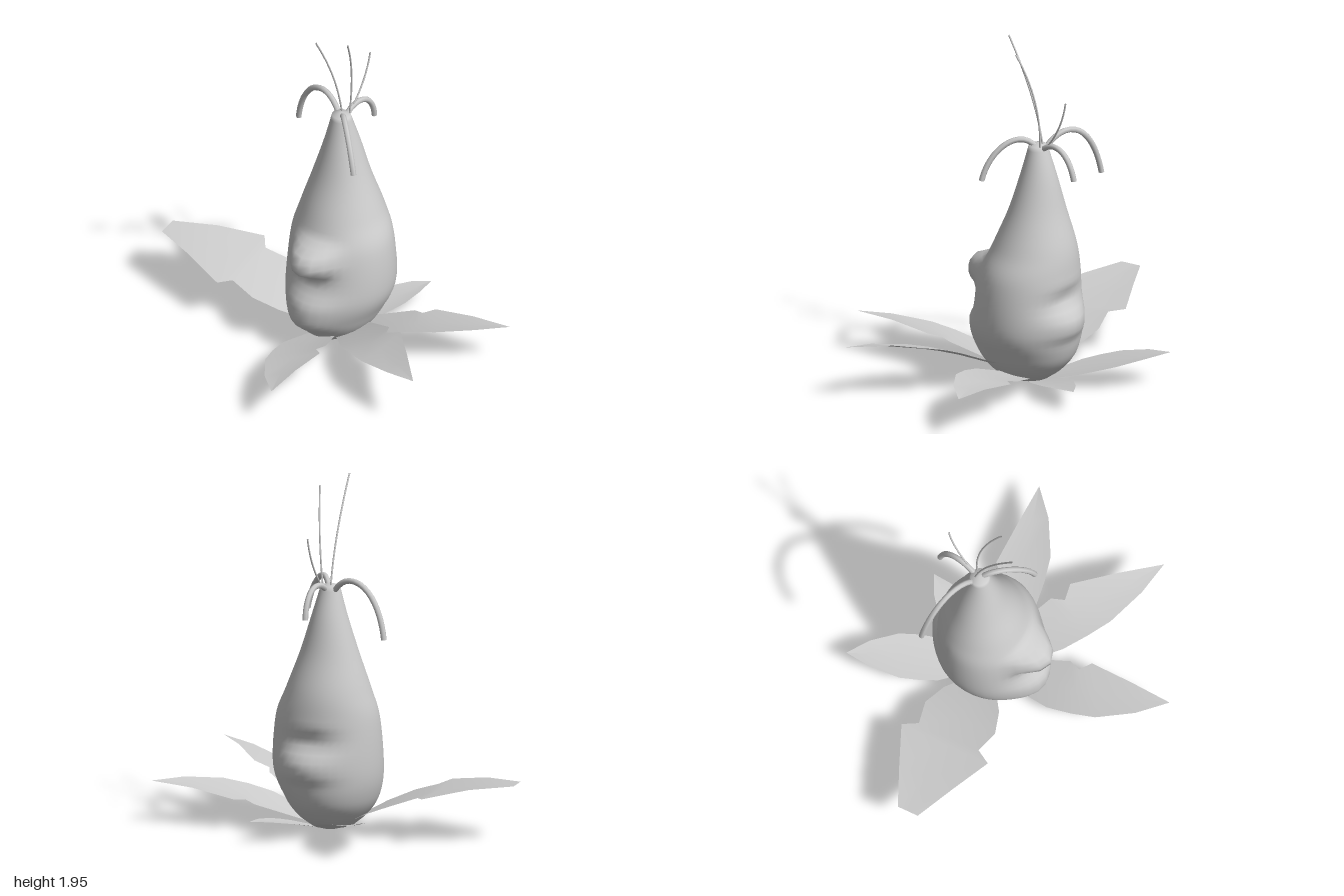
import * as THREE from 'three';

const V = (p) => new THREE.Vector3(...p);
const material = new THREE.MeshStandardMaterial({ color: 0xcccccc });
const sheetMaterial = new THREE.MeshStandardMaterial({ color: 0xcccccc, side: THREE.DoubleSide });

function meshFrom(name, positions, index, mat) {
  const geometry = new THREE.BufferGeometry();
  geometry.setAttribute('position', new THREE.Float32BufferAttribute(positions, 3));
  geometry.setIndex(index);
  geometry.computeVertexNormals();
  const mesh = new THREE.Mesh(geometry, mat);
  mesh.name = name;
  return mesh;
}

// Pear-shaped body: extents per height [y, -x, +x, -z, +z]
const PROFILE = [
  [0.03, 0, 0.28, -0.06, 0.17], [0.1, -0.08, 0.37, -0.14, 0.25], [0.2, -0.13, 0.44, -0.2, 0.31],
  [0.36, -0.13, 0.47, -0.23, 0.37], [0.63, -0.08, 0.45, -0.22, 0.355], [0.8, -0.02, 0.43, -0.18, 0.285],
  [1, 0.06, 0.37, -0.12, 0.205], [1.2, 0.12, 0.32, -0.06, 0.14], [1.37, 0.165, 0.265, -0.015, 0.09],
];
// Lumps and dents on its sides: [angle, y, amount, angular width, height]
const LUMPS = [
  [Math.PI, 0.605, 0.135, 0.38, 0.085], [Math.PI, 0.27, 0.06, 0.5, 0.12],
  [0, 0.4, 0.035, 0.5, 0.08], [0, 0.53, -0.035, 0.5, 0.06],
];

function makeBody() {
  const rows = 56, sides = 40, positions = [], index = [];
  const curve = (a, b) =>
    new THREE.CatmullRomCurve3(PROFILE.map((p) => V([p[0], p[a], p[b]])), false, 'catmullrom');
  const xs = curve(1, 2), zs = curve(3, 4);
  for (let i = 0; i <= rows; i++) {
    const { x: y, y: left, z: right } = xs.getPoint(i / rows);
    const { y: back, z: front } = zs.getPoint(i / rows);
    for (let j = 0; j < sides; j++) {
      const a = (j / sides) * Math.PI * 2;
      let lump = 0;
      for (const [angle, ly, amount, width, height] of LUMPS) {
        const da = Math.atan2(Math.sin(a - angle), Math.cos(a - angle)) / width;
        lump += amount * Math.exp(-da * da - ((y - ly) / height) ** 4);
      }
      positions.push((left + right) / 2 + ((right - left) / 2 + lump) * Math.cos(a), y,
        (back + front) / 2 + ((front - back) / 2 + lump) * Math.sin(a));
      if (i < rows) {
        const p = i * sides + j, q = i * sides + ((j + 1) % sides);
        index.push(p, p + sides, q, q, p + sides, q + sides);
      }
    }
  }
  // Closed ends
  const bottom = positions.length / 3, top = bottom + 1, last = rows * sides;
  positions.push(0.14, 0.03, 0.055, 0.215, 1.385, 0.037);
  for (let j = 0; j < sides; j++) {
    const k = (j + 1) % sides;
    index.push(bottom, j, k, top, last + k, last + j);
  }
  return meshFrom('body', positions, index, material);
}

// Leaf edges as [fraction of length, half width]
const SMOOTH = [[0, 0.02], [0.16, 0.1], [0.34, 0.165], [0.48, 0.175], [0.62, 0.17], [0.83, 0.1], [1, 0]];
const TOOTHED = [[0, 0.02], [0.18, 0.08], [0.4, 0.1], [0.46, 0.065], [0.52, 0.11], [0.76, 0.055], [1, 0]];
const LANCE = [[0, 0.02], [0.22, 0.165], [0.36, 0.21], [0.5, 0.18], [0.55, 0.26], [0.78, 0.16], [1, 0.06]];

// Leaf sheet arching from base to tip; widths scale its two edges, roll tilts it sideways
function makeLeaf({ name, base, tip, edges, widths = [1, 1], roll = 0, arch = 2 }) {
  const start = V(base), along = V(tip).sub(start);
  const length = Math.hypot(along.x, along.z);
  const positions = [], index = [];
  const point = (t, s) => [
    start.x + along.x * t - (along.z / length) * s,
    start.y + along.y * (1 - (1 - t) ** arch) + roll * s,
    start.z + along.z * t + (along.x / length) * s,
  ];
  edges[0].forEach(([ta, wa], i) => {
    const [tb, wb] = edges[1][i];
    const a = point(ta, wa * widths[0]), b = point(tb, -wb * widths[1]);
    const rib = a.map((v, k) => (v + b[k]) / 2);
    rib[1] -= 0.012 * Math.sin(Math.PI * ta);
    positions.push(...a, ...rib, ...b);
    if (i === 0) return;
    for (const p of [i * 3 - 3, i * 3 - 2]) index.push(p, p + 3, p + 1, p + 1, p + 3, p + 4);
  });
  return meshFrom(name, positions, index, sheetMaterial);
}

const LEAVES = [
  { name: 'backLeaf', base: [0.14, 0.02, 0.02], tip: [0.02, 0.325, -0.99], edges: [LANCE, LANCE] },
  { name: 'frontRightLeaf', base: [0.14, 0.02, 0.06], tip: [-0.38, 0.32, 0.96],
    edges: [SMOOTH, TOOTHED], widths: [0.78, 1.3], roll: -0.28 },
  { name: 'frontLeftLeaf', base: [0.17, 0.02, 0.07], tip: [0.45, 0.235, 1], edges: [SMOOTH, TOOTHED], roll: 0.12 },
  { name: 'rightLeaf', base: [0.12, 0.02, 0.05], tip: [-0.82, 0.24, 0.33], edges: [SMOOTH, TOOTHED], roll: -0.22 },
  { name: 'backLeftLeaf', base: [0.19, 0.005, 0.05], tip: [0.82, 0.195, -0.36],
    edges: [SMOOTH, SMOOTH], widths: [0.75, 0.75], arch: 1.35 },
  { name: 'leftLeaf', base: [0.18, 0.005, 0.06], tip: [0.68, 0.125, 0.3],
    edges: [SMOOTH, SMOOTH], widths: [0.52, 0.58], arch: 1.6 },
];

// Stem swept along a Bezier curve
function makeStem(name, points, radius) {
  const Curve = points.length === 3 ? THREE.QuadraticBezierCurve3 : THREE.CubicBezierCurve3;
  const mesh = new THREE.Mesh(new THREE.TubeGeometry(new Curve(...points.map(V)), 16, radius, 7), sheetMaterial);
  mesh.name = name;
  return mesh;
}

// Thin upright filaments
const FILAMENTS = [
  [[0.24, 1.35, 0.025], [0.2, 1.62, 0.025], [0, 1.95, 0.025]],
  [[0.25, 1.35, 0.065], [0.28, 1.65, 0.08], [0.14, 1.9, 0.135]],
  [[0.25, 1.34, 0.05], [0.4, 1.48, 0.065], [0.435, 1.67, 0.07]],
];
// Thicker drooping tendrils
const TENDRILS = [
  [[0.24, 1.35, 0], [0.29, 1.5, -0.11], [0.32, 1.42, -0.3], [0.345, 1.13, -0.345]],
  [[0.21, 1.36, 0.05], [0.14, 1.47, 0.1], [0.03, 1.36, 0.23], [0.01, 1.18, 0.27]],
  [[0.25, 1.35, 0.045], [0.35, 1.44, 0.055], [0.46, 1.38, 0.07], [0.485, 1.23, 0.06]],
];

export function createModel() {
  const group = new THREE.Group();
  group.name = 'pitcherPlant';
  group.add(makeBody(), ...LEAVES.map(makeLeaf));
  FILAMENTS.forEach((p, i) => group.add(makeStem(`filament${i + 1}`, p, 0.005)));
  TENDRILS.forEach((p, i) => group.add(makeStem(`tendril${i + 1}`, p, 0.016)));
  return group;
}
